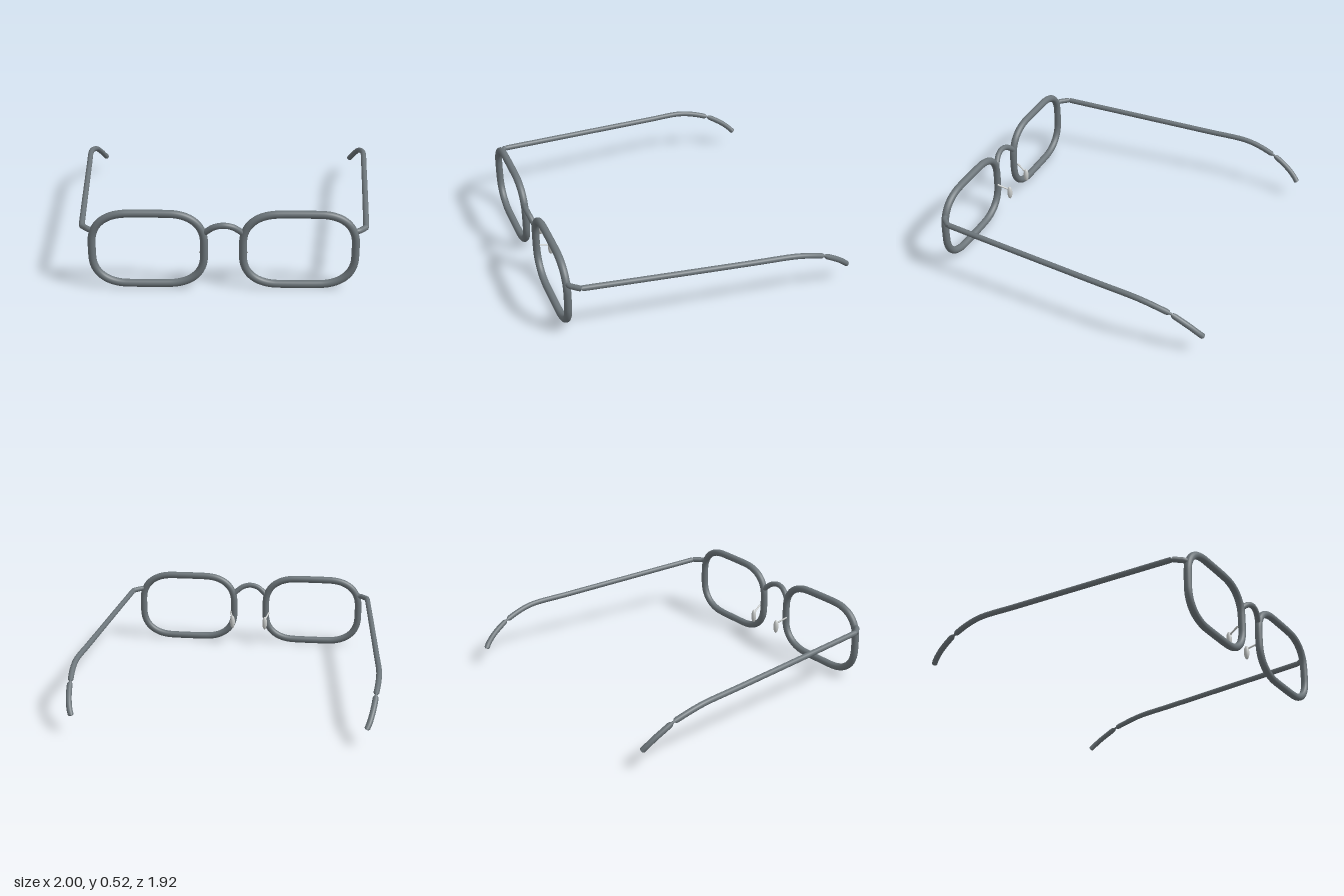
import * as THREE from 'three';

const frameMetal = new THREE.MeshStandardMaterial({ color: 0x6c757a });
frameMetal.name = 'frame metal';
const padPlastic = new THREE.MeshStandardMaterial({ color: 0xc9cccb });
padPlastic.name = 'pad plastic';

const V = (x, y, z) => new THREE.Vector3(x, y, z);

function addMesh(parent, name, geometry, material) {
  const mesh = new THREE.Mesh(geometry, material);
  mesh.name = name;
  parent.add(mesh);
  return mesh;
}

// Rounded wire whose two ends close over the given lengths
function wire(points, radius, startLength, endLength, steps = 64) {
  const curve = new THREE.CatmullRomCurve3(points, false, 'centripetal');
  const length = curve.getLength();
  const sides = 16;
  const geo = new THREE.TubeGeometry(curve, steps, radius, sides, false);
  const pos = geo.attributes.position;
  const p = V(0, 0, 0);
  const closing = (d, l) => (d >= l ? 1 : Math.sqrt(Math.max(0, 1 - (1 - d / l) ** 2)));
  for (let i = 0; i <= steps; i++) {
    const t = i / steps;
    const c = curve.getPointAt(t);
    const k = closing(t * length, startLength) * closing((1 - t) * length, endLength);
    for (let j = 0; j <= sides; j++) {
      const n = i * (sides + 1) + j;
      p.fromBufferAttribute(pos, n).sub(c).multiplyScalar(k).add(c);
      pos.setXYZ(n, p.x, p.y, p.z);
    }
  }
  return geo;
}

// Closed, softly cornered outline of one rim
function rimGeometry(cx) {
  const cy = 0.264, z = 0.918, w = 0.345, h = 0.236, rx = 0.225, ry = 0.19, k = 0.38;
  const pts = [];
  const corners = [[1, 1], [-1, 1], [-1, -1], [1, -1]];
  corners.forEach(([sx, sy]) => {
    const side = V(cx + sx * w, cy + sy * (h - ry), z);
    const sideHandle = V(cx + sx * w, cy + sy * (h - ry * k), z);
    const flatHandle = V(cx + sx * (w - rx * k), cy + sy * h, z);
    const flat = V(cx + sx * (w - rx), cy + sy * h, z);
    const arc = sx * sy > 0
      ? new THREE.CubicBezierCurve3(side, sideHandle, flatHandle, flat)
      : new THREE.CubicBezierCurve3(flat, flatHandle, sideHandle, side);
    pts.push(...arc.getPoints(10));
  });
  const path = new THREE.CatmullRomCurve3(pts, true, 'centripetal');
  return new THREE.TubeGeometry(path, 160, 0.0245, 16, true);
}

function createSide(s) {
  const side = new THREE.Group();
  side.name = s > 0 ? 'leftSide' : 'rightSide';
  const P = (x, y, z) => V(s * x, y, z);

  addMesh(side, 'rim', rimGeometry(s * 0.465), frameMetal);

  // Bent end piece from rim to hinge
  addMesh(side, 'endPiece', wire([
    P(0.79, 0.388, 0.915), P(0.825, 0.388, 0.907), P(0.85, 0.388, 0.882), P(0.88, 0.388, 0.848),
  ], 0.018, 0.01, 0.008), frameMetal);

  // Long temple with a drooping rear
  addMesh(side, 'temple', wire([
    P(0.876, 0.388, 0.85), P(0.905, 0.373, 0.48), P(0.934, 0.358, 0.1), P(0.961, 0.344, -0.26),
    P(0.979, 0.335, -0.51), P(0.979, 0.322, -0.59), P(0.974, 0.3, -0.67), P(0.965, 0.273, -0.748),
  ], 0.0185, 0.012, 0.025, 200), frameMetal);

  // Narrow neck joining temple and ear tip
  addMesh(side, 'tipNeck', wire([
    P(0.967, 0.28, -0.73), P(0.965, 0.271, -0.752), P(0.963, 0.261, -0.775),
  ], 0.008, 0.002, 0.002, 12), frameMetal);

  addMesh(side, 'earTip', wire([
    P(0.965, 0.27, -0.755), P(0.959, 0.238, -0.81), P(0.947, 0.195, -0.875),
    P(0.932, 0.152, -0.925), P(0.917, 0.122, -0.953),
  ], 0.0185, 0.03, 0.012, 100), frameMetal);

  // Nose pad on its thin stem
  addMesh(side, 'padStem', wire([
    P(0.147, 0.238, 0.905), P(0.136, 0.222, 0.87), P(0.121, 0.203, 0.828),
  ], 0.006, 0.002, 0.002, 16), padPlastic);
  const pad = addMesh(side, 'nosePad', new THREE.SphereGeometry(1, 24, 16), padPlastic);
  pad.scale.set(0.018, 0.049, 0.018);
  pad.position.copy(P(0.121, 0.178, 0.823));
  return side;
}

export function createModel() {
  const model = new THREE.Group();
  model.name = 'eyeglasses';
  for (const s of [1, -1]) model.add(createSide(s));

  // Arched bridge bowing forward between the rims
  addMesh(model, 'bridge', wire([
    V(-0.125, 0.365, 0.914), V(-0.1, 0.39, 0.924), V(-0.055, 0.422, 0.936), V(0, 0.434, 0.941),
    V(0.055, 0.422, 0.936), V(0.1, 0.39, 0.924), V(0.125, 0.365, 0.914),
  ], 0.019, 0.005, 0.005), frameMetal);
  return model;
}
